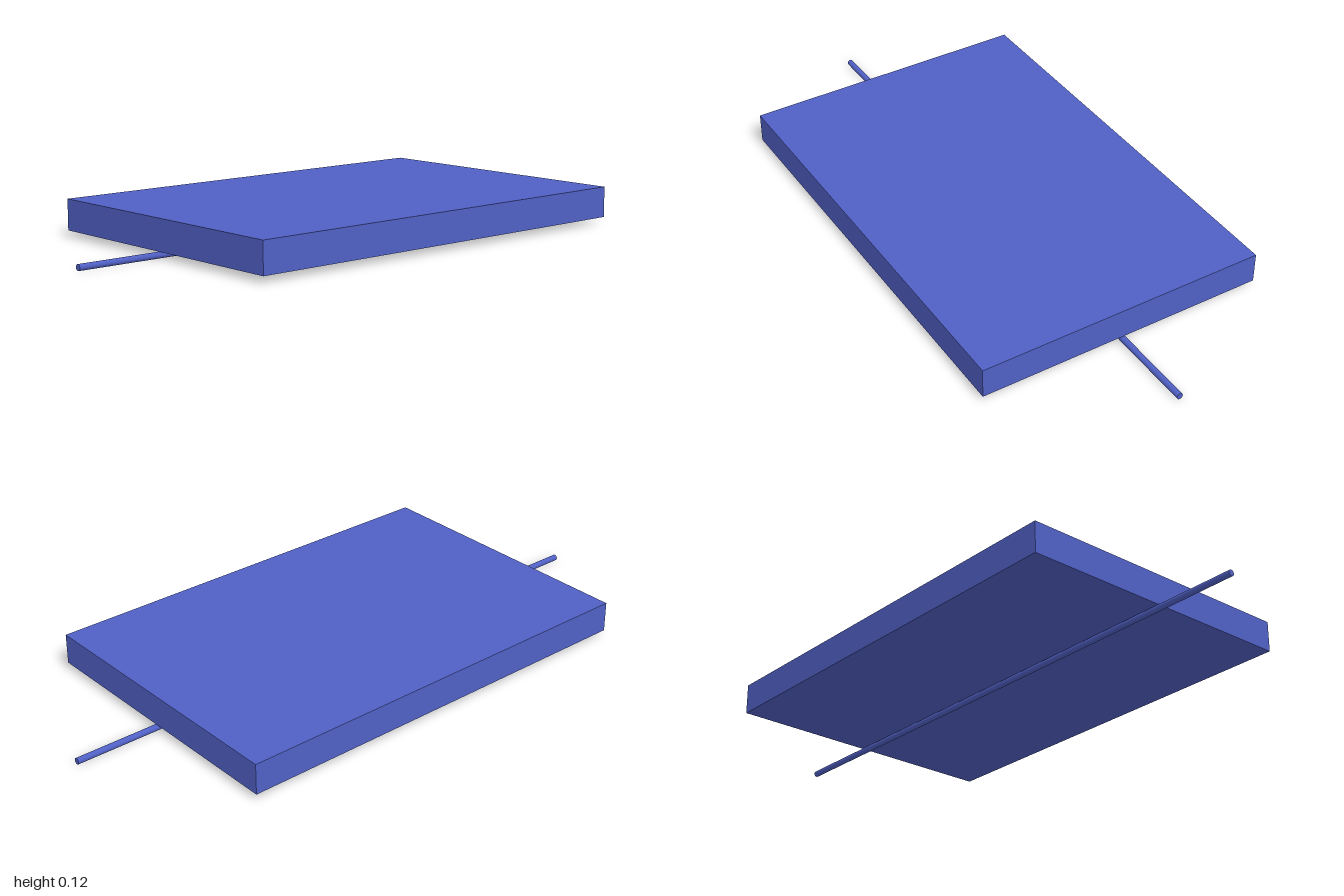
import * as THREE from 'three';

export function createModel() {
  const model = new THREE.Group();
  const material = new THREE.MeshStandardMaterial({ color: 0x5060c4 });

  // Flat rectangular slab resting on the rod
  const slab = new THREE.Mesh(new THREE.BoxGeometry(1.44, 0.1, 0.96), material);
  slab.name = 'slab';
  slab.position.y = 0.07;

  // Thin round axle running the full width underneath
  const axle = new THREE.Mesh(new THREE.CylinderGeometry(0.01, 0.01, 2, 32), material);
  axle.name = 'axle';
  axle.rotation.z = Math.PI / 2;
  axle.position.y = 0.01;

  model.add(slab, axle);
  return model;
}
